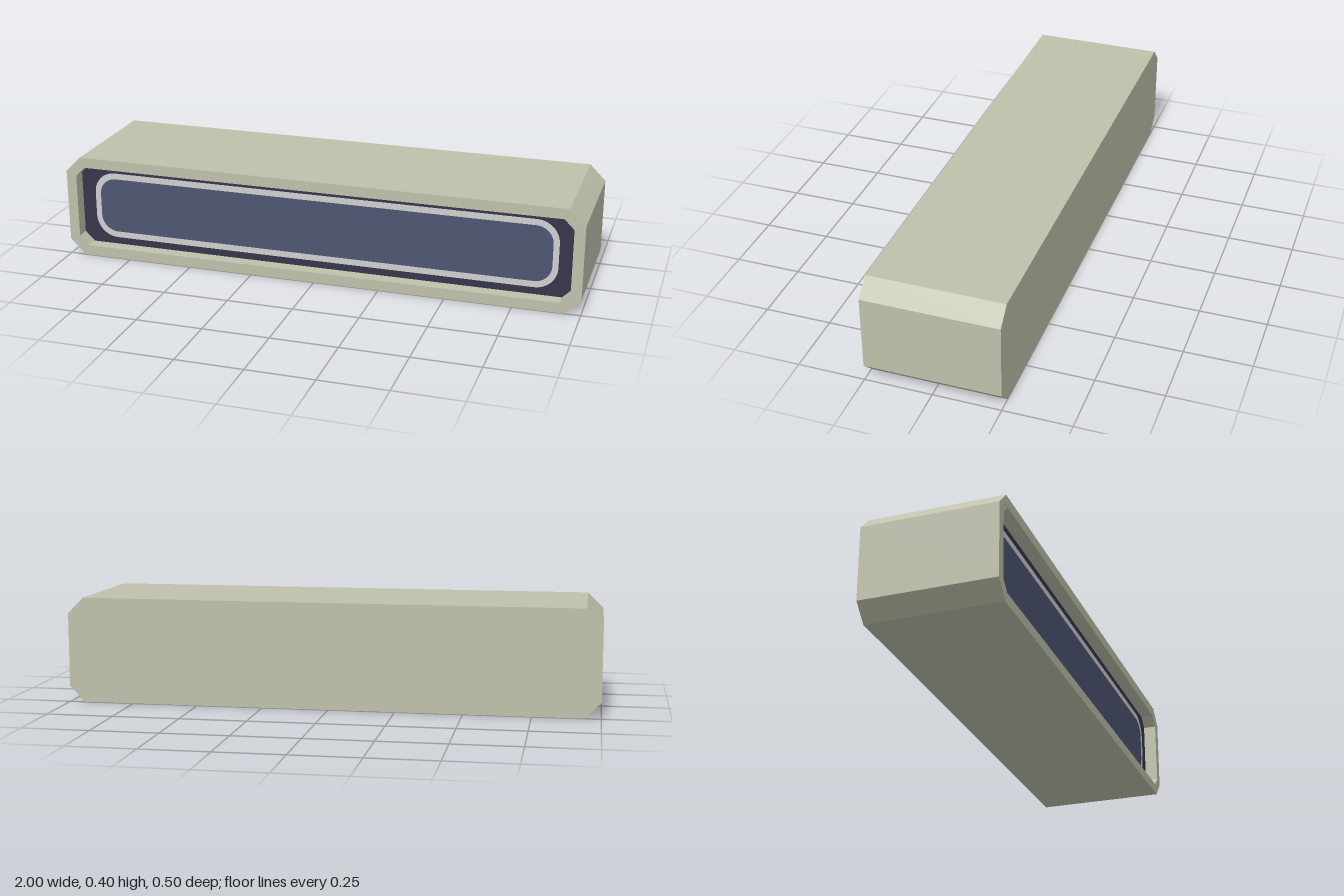
import * as THREE from 'three';

const HEIGHT = 0.4, MID = HEIGHT / 2, BACK = -0.25, FRONT = 0.25, FLOOR = 0.2;

// Corner points of a chamfered rectangle, counter-clockwise from the front
function octagon(hw, hh, c) {
  return [
    [-hw + c, -hh], [hw - c, -hh], [hw, -hh + c], [hw, hh - c],
    [hw - c, hh], [-hw + c, hh], [-hw, hh - c], [-hw, -hh + c],
  ].map(([x, y]) => new THREE.Vector2(x, y + MID));
}

// Rounded rectangle outline
function rounded(hw, hh, r, Type = THREE.Shape) {
  const s = new Type();
  s.absarc(hw - r, MID + hh - r, r, 0, Math.PI / 2);
  s.absarc(-hw + r, MID + hh - r, r, Math.PI / 2, Math.PI);
  s.absarc(-hw + r, MID - hh + r, r, Math.PI, Math.PI * 1.5);
  s.absarc(hw - r, MID - hh + r, r, Math.PI * 1.5, Math.PI * 2);
  s.closePath();
  return s;
}

// Closed back, outer walls, front rim and recess walls, joined loop by loop
function casingGeometry() {
  const outer = octagon(1, MID, 0.06), inner = octagon(0.96, 0.16, 0.037);
  const loops = [[outer, BACK], [outer, FRONT], [inner, FRONT], [inner, FLOOR]]
    .map(([pts, z]) => pts.map((p) => [p.x, p.y, z]));
  const pos = [];
  const tri = (a, b, c) => pos.push(...a, ...b, ...c);
  for (let k = 0; k < loops.length - 1; k++) {
    const a = loops[k], b = loops[k + 1];
    for (let i = 0; i < 8; i++) {
      const j = (i + 1) % 8;
      tri(a[i], a[j], b[j]);
      tri(a[i], b[j], b[i]);
    }
  }
  for (let i = 1; i < 7; i++) tri(loops[0][0], loops[0][i + 1], loops[0][i]);
  const g = new THREE.BufferGeometry();
  g.setAttribute('position', new THREE.Float32BufferAttribute(pos, 3));
  g.computeVertexNormals();
  return g;
}

export function createModel() {
  const material = (name, color) => {
    const m = new THREE.MeshStandardMaterial({ color });
    m.name = name;
    return m;
  };
  const olive = material('paleOlive', 0xbfc1ab);
  const dark = material('darkViolet', 0x37344b);
  const blue = material('slateBlue', 0x4d5572);
  const white = material('lightGrey', 0xcfcfd0);

  const group = new THREE.Group();
  group.name = 'framedPanelBox';
  const add = (name, geometry, mat, z = 0) => {
    const mesh = new THREE.Mesh(geometry, mat);
    mesh.name = name;
    mesh.position.z = z;
    group.add(mesh);
  };

  add('casing', casingGeometry(), olive);

  // Recess floor
  add('recessFloor', new THREE.ShapeGeometry(new THREE.Shape(octagon(0.96, 0.16, 0.037))), dark, FLOOR);

  // Rounded border line and the panel it encloses
  const border = rounded(0.905, 0.132, 0.085);
  border.holes.push(rounded(0.883, 0.108, 0.065, THREE.Path));
  add('borderLine', new THREE.ShapeGeometry(border, 8), white, FLOOR + 0.003);
  add('panel', new THREE.ShapeGeometry(rounded(0.883, 0.108, 0.065), 8), blue, FLOOR + 0.003);

  return group;
}
